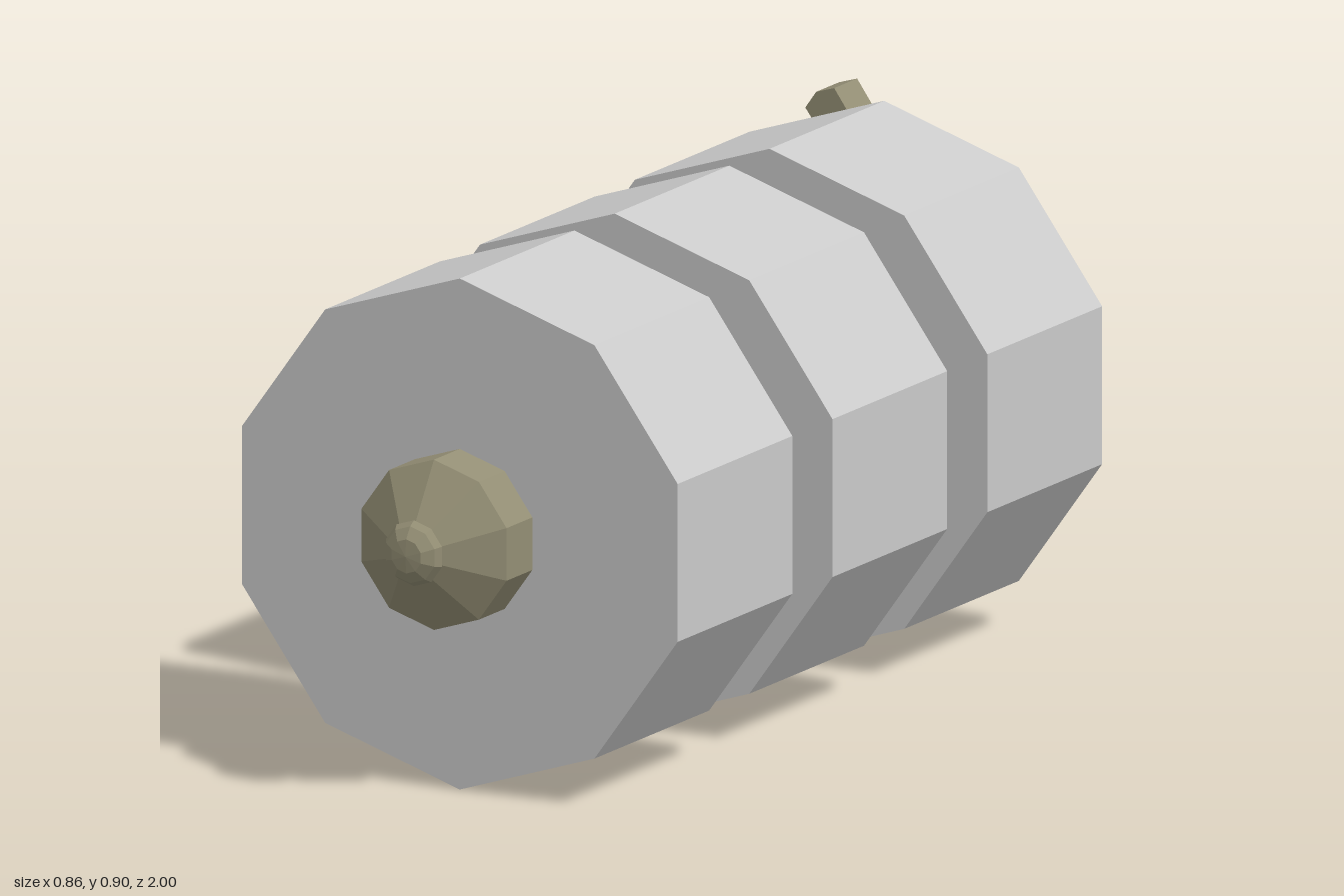
import * as THREE from 'three';

const SIDES = 10;
const CENTER_Y = 0.45;

export function createModel() {
  const model = new THREE.Group();
  const grey = new THREE.MeshStandardMaterial({ color: 0xcccccc, flatShading: true });
  const bronze = new THREE.MeshStandardMaterial({ color: 0x948f75, flatShading: true });

  const add = (name, geometry, material, z = 0) => {
    const mesh = new THREE.Mesh(geometry, material);
    mesh.name = name;
    mesh.position.set(0, CENTER_Y, z);
    model.add(mesh);
  };

  // Three ten-sided drums along the axle
  [0.61, 0.07, -0.47].forEach((z, i) => {
    const drum = new THREE.CylinderGeometry(0.45, 0.45, 0.4, SIDES);
    drum.rotateX(Math.PI / 2);
    add(`drum${i + 1}`, drum, grey, z);
  });

  // Axle with a stepped neck at the back and a pointed, collared nose in front
  const profile = [
    [0, -0.925], [0.1, -0.925], [0.1, -0.78], [0.15, -0.7], [0.15, 0.9],
    [0.052, 0.965], [0.058, 0.97], [0.05, 0.983], [0.03, 0.997], [0, 1],
  ].map(([r, z]) => new THREE.Vector2(r, z));
  const axle = new THREE.LatheGeometry(profile, SIDES);
  axle.rotateX(Math.PI / 2);
  add('axle', axle, bronze);

  // Crank: round hub and slim arm with a blunt point, cut from one plate
  const outline = [];
  const hubRadius = 0.056;
  for (let i = 0; i <= 8; i++) {
    const a = THREE.MathUtils.degToRad(146 + i * 33.5);
    // Runs counter-clockwise round the hub, leaving the arm side (+y) open
    outline.push(new THREE.Vector2(hubRadius * Math.cos(a), hubRadius * Math.sin(a)));
  }
  outline.push(
    new THREE.Vector2(0.03, 0.06), new THREE.Vector2(0.035, 0.457),
    new THREE.Vector2(0, 0.469), new THREE.Vector2(-0.035, 0.457),
    new THREE.Vector2(-0.03, 0.06),
  );
  const crank = new THREE.ExtrudeGeometry(new THREE.Shape(outline), { depth: 0.08, bevelEnabled: false });
  crank.rotateZ(Math.atan2(0.585, 0.81));
  add('crankHandle', crank, bronze, -1);

  return model;
}
